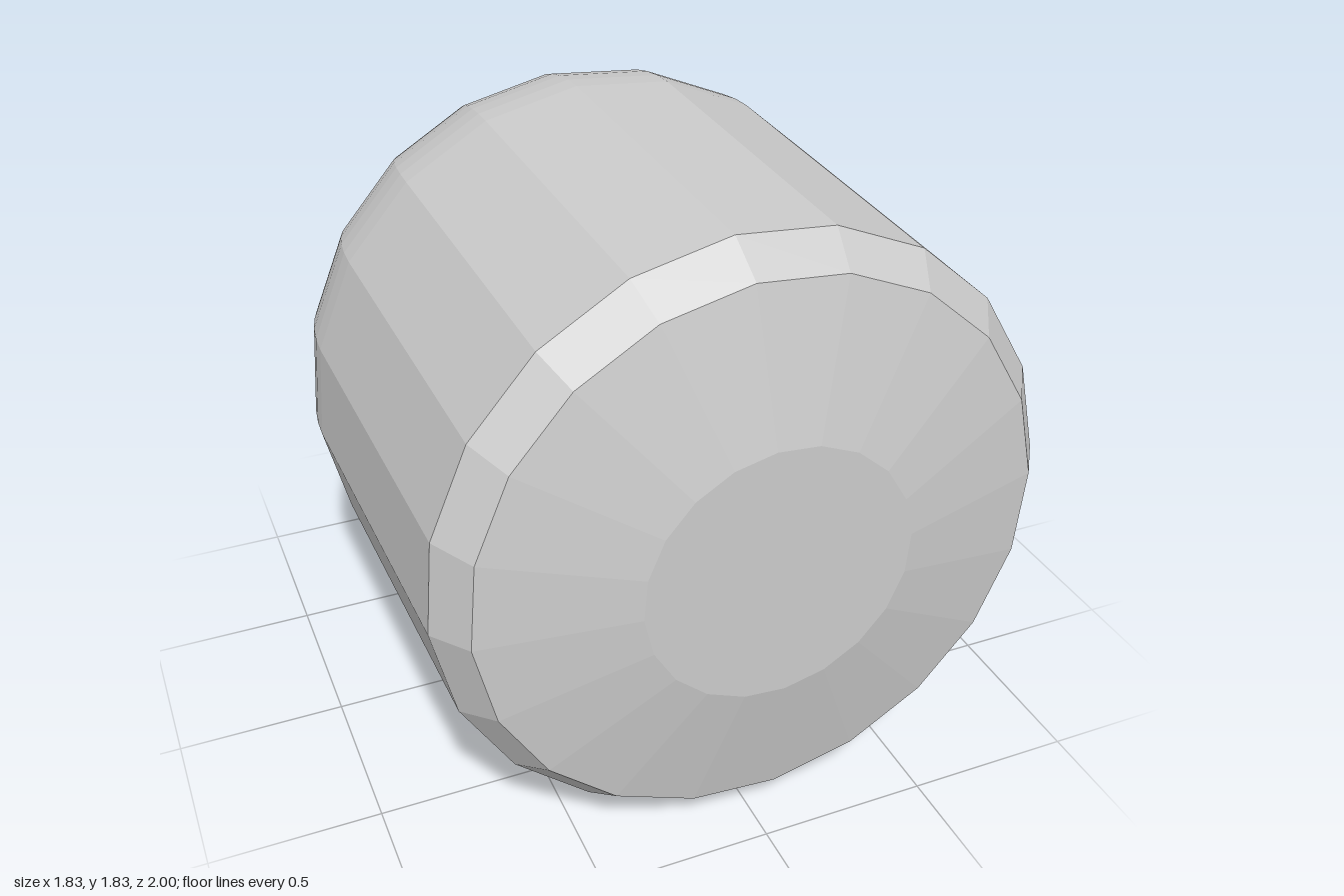
import * as THREE from 'three';

const SIDES = 20;
const RADIUS = 0.92;
const TURN = THREE.MathUtils.degToRad(4.4);

export function createModel() {
  const group = new THREE.Group();
  group.name = 'domedCapsule';
  const material = new THREE.MeshStandardMaterial({ color: 0xcccccc, flatShading: true });

  // Turns a [radius, z] profile, listed from back to front, around the z axis
  const addTurned = (name, profile) => {
    const points = profile.map(([r, z]) => new THREE.Vector2(r, z));
    const geometry = new THREE.LatheGeometry(points, SIDES, TURN, Math.PI * 2);
    geometry.rotateX(Math.PI / 2);
    const mesh = new THREE.Mesh(geometry, material);
    mesh.name = name;
    mesh.position.y = RADIUS * Math.cos(TURN);
    group.add(mesh);
  };

  // Rounded back: quarter arc running out from a small flat cap
  const capRadius = 0.21, domeStart = -0.26, steps = 16;
  const dome = [[0, -1]];
  for (let i = 0; i <= steps; i++) {
    const a = (i / steps) * Math.PI / 2;
    dome.push([
      capRadius + (RADIUS - capRadius) * Math.sin(a),
      domeStart - (1 + domeStart) * Math.cos(a),
    ]);
  }
  addTurned('backDome', dome);

  // Slightly tapered barrel
  addTurned('barrel', [[RADIUS, domeStart], [0.892, 0.8]]);

  // Bevelled rim, shallow cone and flat disc at the front
  addTurned('frontCap', [[0.892, 0.8], [0.812, 0.91], [0.385, 1], [0, 1]]);

  return group;
}
